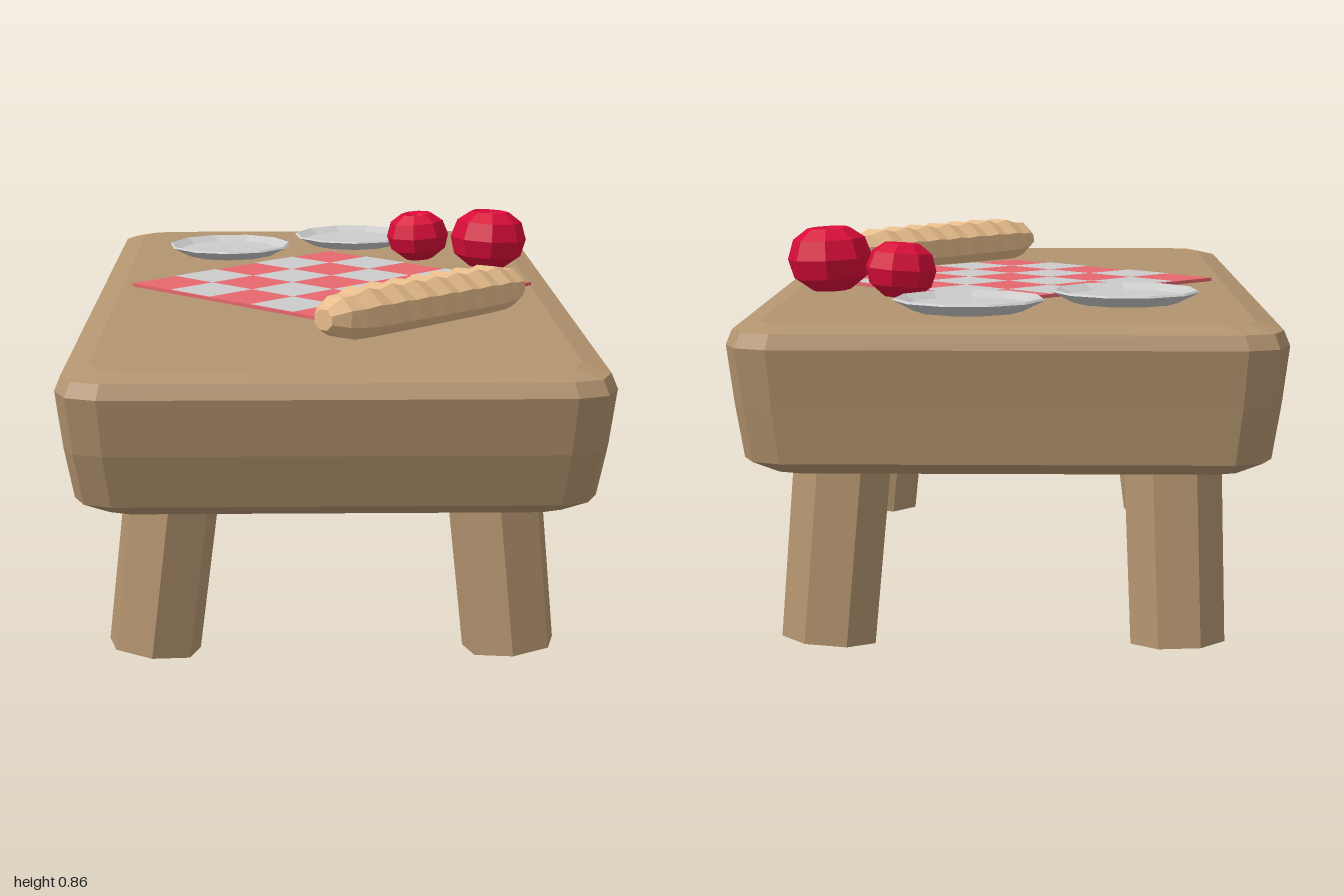
import * as THREE from 'three';
import { mergeGeometries } from 'three/addons/utils/BufferGeometryUtils.js';

const mat = (color) => new THREE.MeshStandardMaterial({ color, flatShading: true });
const WOOD = mat(0xb3946f), RED = mat(0xd80c38), CLOTH = mat(0xe6686e);
const CRUST = mat(0xe8bd8c), GREY = mat(0xcccccc);
const SLOPE = 0.018; // the table top rises slightly towards the back
const topY = (z) => 0.715 - SLOPE * z;

function add(parent, name, geometry, material) {
  const mesh = new THREE.Mesh(geometry, material);
  mesh.name = name;
  parent.add(mesh);
  return mesh;
}

// Faceted skin over a stack of rings, closed at both ends
function loft(rings) {
  const pos = [];
  const tri = (...pts) => pts.forEach((p) => pos.push(p.x, p.y, p.z));
  const n = rings[0].length;
  const centre = (ring) => ring.reduce((s, p) => s.add(p), new THREE.Vector3()).divideScalar(n);
  const first = rings[0], last = rings[rings.length - 1];
  const c0 = centre(first), c1 = centre(last);
  for (let j = 0; j < n; j++) {
    const k = (j + 1) % n;
    for (let i = 0; i < rings.length - 1; i++) {
      const a = rings[i], b = rings[i + 1];
      tri(a[j], a[k], b[k]);
      tri(a[j], b[k], b[j]);
    }
    tri(c0, first[k], first[j]);
    tri(c1, last[j], last[k]);
  }
  const g = new THREE.BufferGeometry();
  g.setAttribute('position', new THREE.Float32BufferAttribute(pos, 3));
  g.computeVertexNormals();
  return g;
}

// Rectangle with chamfered corners, at height y
function slabRing([y, hx, front, back, r]) {
  const pts = [];
  for (let k = 0; k < 4; k++) {
    const sx = k === 0 || k === 3 ? 1 : -1;
    const cz = k < 2 ? -back + r : front - r;
    for (let m = 0; m < 3; m++) {
      const t = (k + m / 2) * Math.PI / 2;
      const z = cz - r * Math.sin(t);
      pts.push(new THREE.Vector3(sx * (hx - r) + r * Math.cos(t), y - SLOPE * z, z));
    }
  }
  return pts;
}

// Splayed leg between a top and a bottom point
function leg(parent, name, top, bottom) {
  const a = new THREE.Vector3(...top), b = new THREE.Vector3(...bottom);
  const dir = a.clone().sub(b);
  const m = add(parent, name, new THREE.CylinderGeometry(0.107, 0.103, dir.length(), 7), WOOD);
  m.position.copy(a).add(b).multiplyScalar(0.5);
  m.quaternion.setFromUnitVectors(new THREE.Vector3(0, 1, 0), dir.normalize());
}

function lathe(profile, sides) {
  return new THREE.LatheGeometry(profile.map(([x, y]) => new THREE.Vector2(x, y)), sides);
}

// Loaf with slanted bumps along its upper side, lying along x
function loafGeometry() {
  const rings = [], steps = 18, half = 0.325, sides = 8;
  for (let i = 0; i <= steps; i++) {
    const u = (i / steps) * 2 - 1;
    const taper = Math.max(0.42, Math.pow(1 - Math.pow(Math.abs(u), 7), 0.5));
    const bump = i % 2 ? 1.06 : 0.9;
    const ring = [];
    for (let j = 0; j < sides; j++) {
      const t = ((j + 0.5) / sides) * Math.PI * 2;
      const upper = Math.cos(t) > 0;
      const swell = upper ? bump : 1;
      const slant = upper ? 0.28 * Math.sin(t) * 0.066 * (1 - u * u) : 0;
      ring.push(new THREE.Vector3(u * half + slant,
        0.06 * Math.cos(t) * taper * swell,
        0.068 * Math.sin(t) * taper * (upper ? 0.5 + swell / 2 : 1)));
    }
    rings.push(ring);
  }
  return loft(rings);
}

export function createModel() {
  const model = new THREE.Group();
  model.name = 'picnicTable';

  // Thick table top: [y, half width, front, back, corner]
  add(model, 'tableTop', loft([
    [0.408, 0.48, 0.89, 0.92, 0.06],
    [0.435, 0.535, 0.935, 0.965, 0.08],
    [0.55, 0.552, 0.975, 0.982, 0.085],
    [0.67, 0.565, 1.0, 1.0, 0.09],
    [0.7, 0.553, 0.985, 0.988, 0.085],
    [0.714, 0.5, 0.93, 0.94, 0.07],
  ].map(slabRing)), WOOD);

  // Legs
  leg(model, 'frontRightLeg', [-0.34, 0.46, 0.597], [-0.393, 0.018, 0.617]);
  leg(model, 'frontLeftLeg', [0.345, 0.46, 0.597], [0.387, 0.018, 0.617]);
  leg(model, 'backRightLeg', [-0.345, 0.48, -0.662], [-0.36, 0.015, -0.707]);
  leg(model, 'backLeftLeg', [0.35, 0.48, -0.662], [0.387, 0.018, -0.707]);

  // Checked cloth, laid corner to corner
  const cloth = new THREE.Group();
  cloth.name = 'cloth';
  cloth.position.set(0.012, topY(-0.04) + 0.003, -0.038);
  cloth.rotation.x = SLOPE;
  const size = 0.69, cell = size / 5, tiles = [];
  for (let i = 0; i < 5; i++) {
    for (let j = 0; j < 5; j++) {
      if ((i + j) % 2 === 0) continue;
      tiles.push(new THREE.PlaneGeometry(cell, cell).rotateX(-Math.PI / 2)
        .translate((i - 2) * cell, 0.0055, (j - 2) * cell));
    }
  }
  add(cloth, 'clothBase', new THREE.BoxGeometry(size, 0.008, size).rotateY(Math.PI / 4), CLOTH);
  add(cloth, 'clothChecks', mergeGeometries(tiles).rotateY(Math.PI / 4), GREY);
  model.add(cloth);

  // Plates
  const plate = lathe([[0, 0], [0.115, 0], [0.162, 0.024], [0.157, 0.028], [0.13, 0.014], [0, 0.012]], 11);
  [[-0.25, -0.53], [0.085, -0.7]].forEach(([x, z]) => {
    const m = add(model, 'plate', plate, GREY);
    m.position.set(x, topY(z) + 0.001, z);
    m.rotation.x = SLOPE;
  });

  // Round fruit with a dimple on top
  const fruit = lathe([[0, 0], [0.45, 0.03], [0.88, 0.35], [1, 0.8], [0.85, 1.25],
    [0.5, 1.5], [0.3, 1.45], [0, 1.25]], 8);
  [[0.25, -0.44, 0.081, 0.6, 0.08], [0.415, -0.295, 0.097, 0, -0.05]].forEach(([x, z, s, turn, tilt]) => {
    const m = add(model, 'fruit', fruit, RED);
    m.scale.setScalar(s);
    m.position.set(x, topY(z), z);
    m.rotation.set(0, turn, tilt);
  });

  // Loaf of bread
  const loaf = add(model, 'breadLoaf', loafGeometry(), CRUST);
  loaf.position.set(0.207, 0.753, 0.43);
  loaf.rotation.y = Math.PI / 4;

  return model;
}
